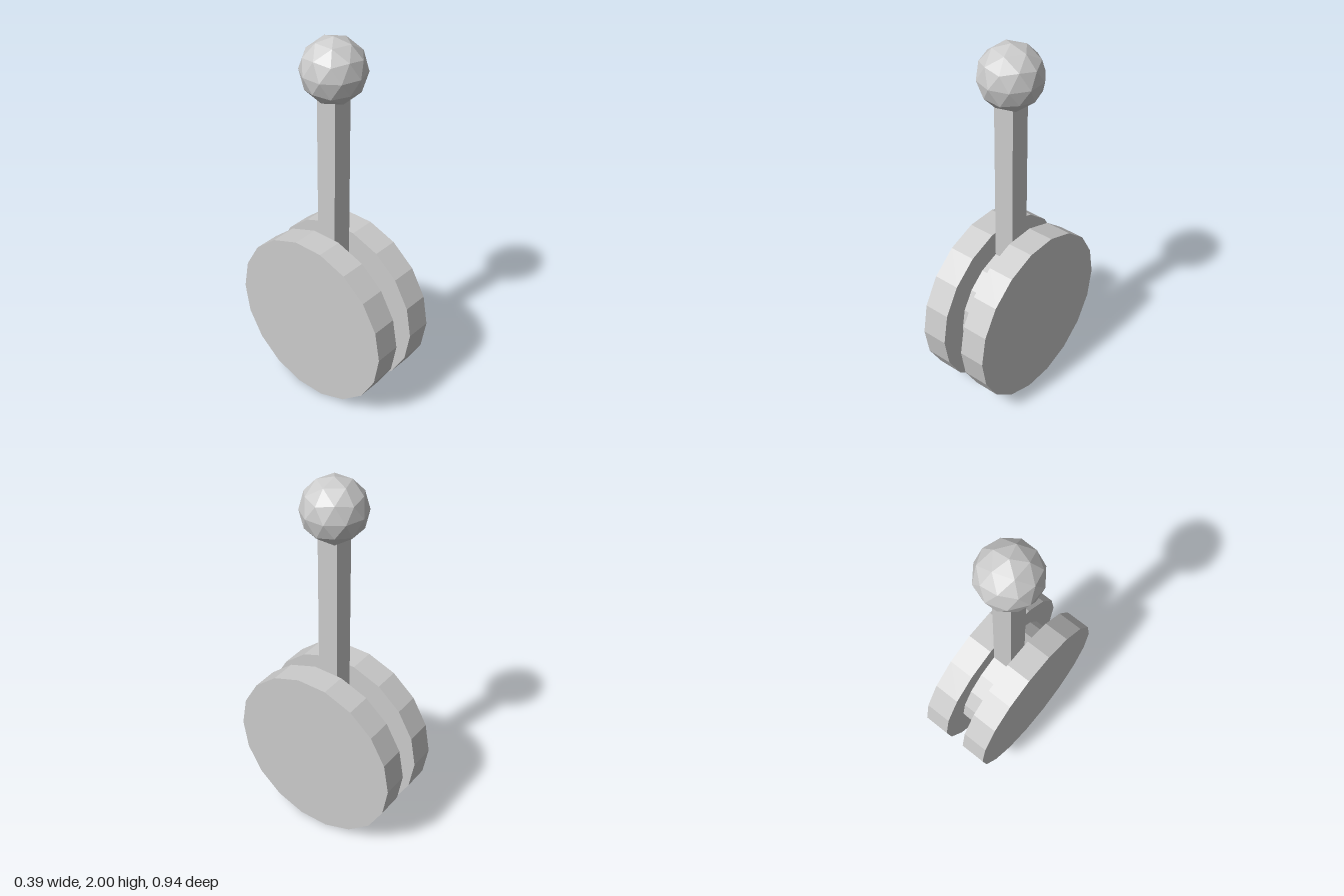
import * as THREE from 'three';

const SIDES = 18;
const WHEEL_R = 0.472;
const WHEEL_Y = WHEEL_R * Math.sin((80 * Math.PI) / 180); // rests on a flat facet

export function createModel() {
  const group = new THREE.Group();
  const material = new THREE.MeshStandardMaterial({ color: 0xcccccc, flatShading: true });

  const add = (name, geometry, x, y) => {
    const mesh = new THREE.Mesh(geometry, material);
    mesh.name = name;
    mesh.position.set(x, y, 0);
    group.add(mesh);
  };

  // Faceted disc lying along the x axis
  const disc = (radius, width) =>
    new THREE.CylinderGeometry(radius, radius, width, SIDES).rotateZ(Math.PI / 2);

  // Two outer discs joined by a smaller hub
  for (const [name, side] of [['leftDisc', 1], ['rightDisc', -1]]) {
    add(name, disc(WHEEL_R, 0.14), side * 0.126, WHEEL_Y);
  }
  add('hub', disc(0.33, 0.112), 0, WHEEL_Y);

  // Square stem rising from inside the hub into the knob
  const stemBottom = 0.5, stemTop = 1.8;
  add('stem', new THREE.BoxGeometry(0.112, stemTop - stemBottom, 0.112), 0, (stemTop + stemBottom) / 2);

  // Faceted ball knob, turned so one corner points straight up
  const golden = (1 + Math.sqrt(5)) / 2;
  const knob = new THREE.IcosahedronGeometry(0.165, 1).rotateZ(-Math.atan(1 / golden));
  add('knob', knob, 0, 1.835);

  return group;
}
